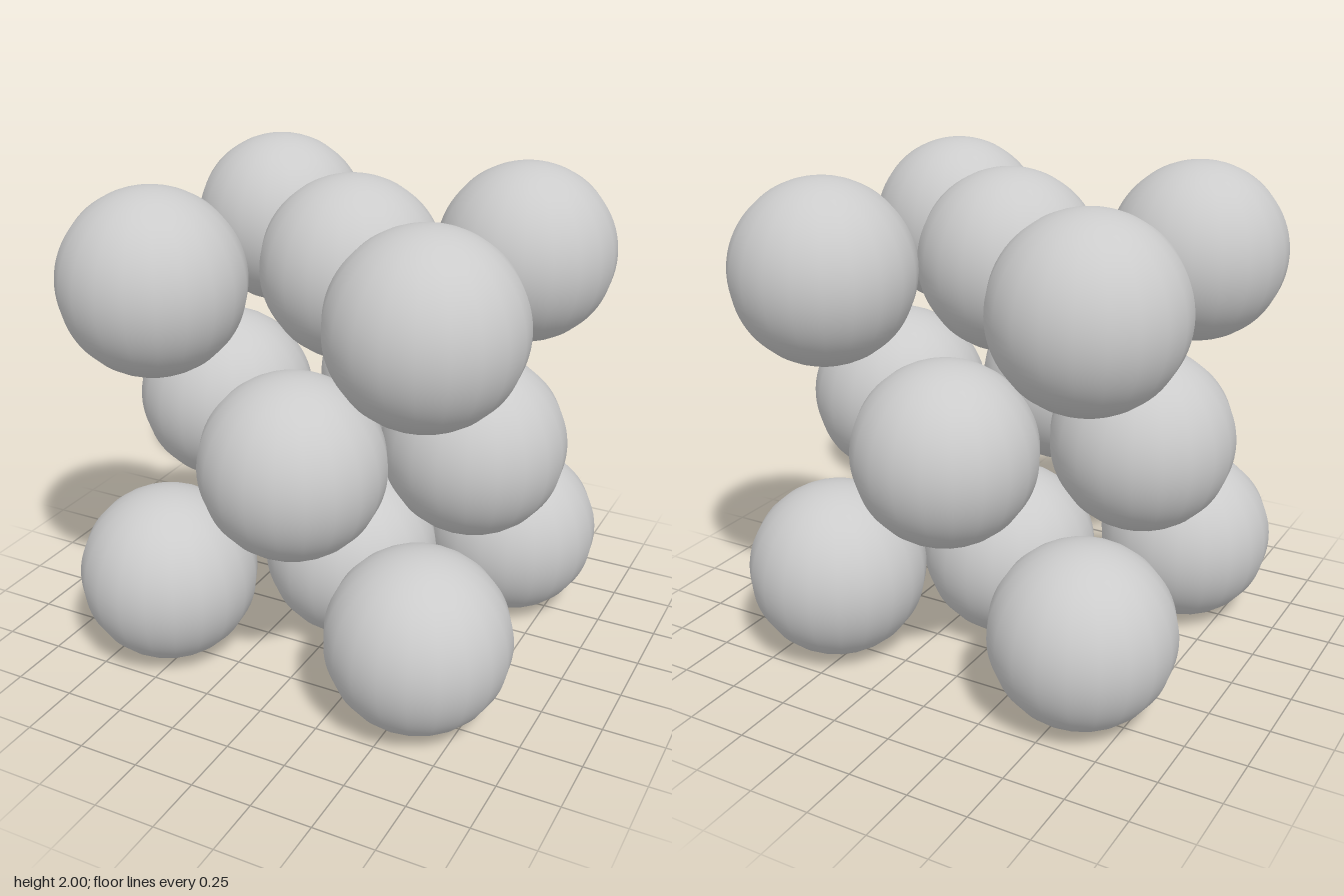
import * as THREE from 'three';

// Face-centred cubic cell: eight corner spheres and six face-centre spheres
export function createModel() {
  const model = new THREE.Group();
  model.name = 'faceCentredCubicCell';
  const material = new THREE.MeshStandardMaterial({ color: 0xcccccc });
  const geometry = new THREE.SphereGeometry(0.367, 20, 40);

  // low, middle and high sphere positions along each axis
  const xs = [-0.568, 0.03, 0.568];
  const ys = [0.367, 0.987, 1.633];
  const zs = [-0.505, 0, 0.505];

  for (let i = 0; i < 3; i++)
    for (let j = 0; j < 3; j++)
      for (let k = 0; k < 3; k++) {
        // number of axes on which the sphere sits in the middle
        const middles = [i, j, k].filter((n) => n === 1).length;
        if (middles !== 0 && middles !== 2) continue;
        const sphere = new THREE.Mesh(geometry, material);
        sphere.name = middles === 0 ? 'cornerSphere' : 'faceCentreSphere';
        sphere.position.set(xs[i], ys[j], zs[k]);
        model.add(sphere);
      }
  return model;
}
